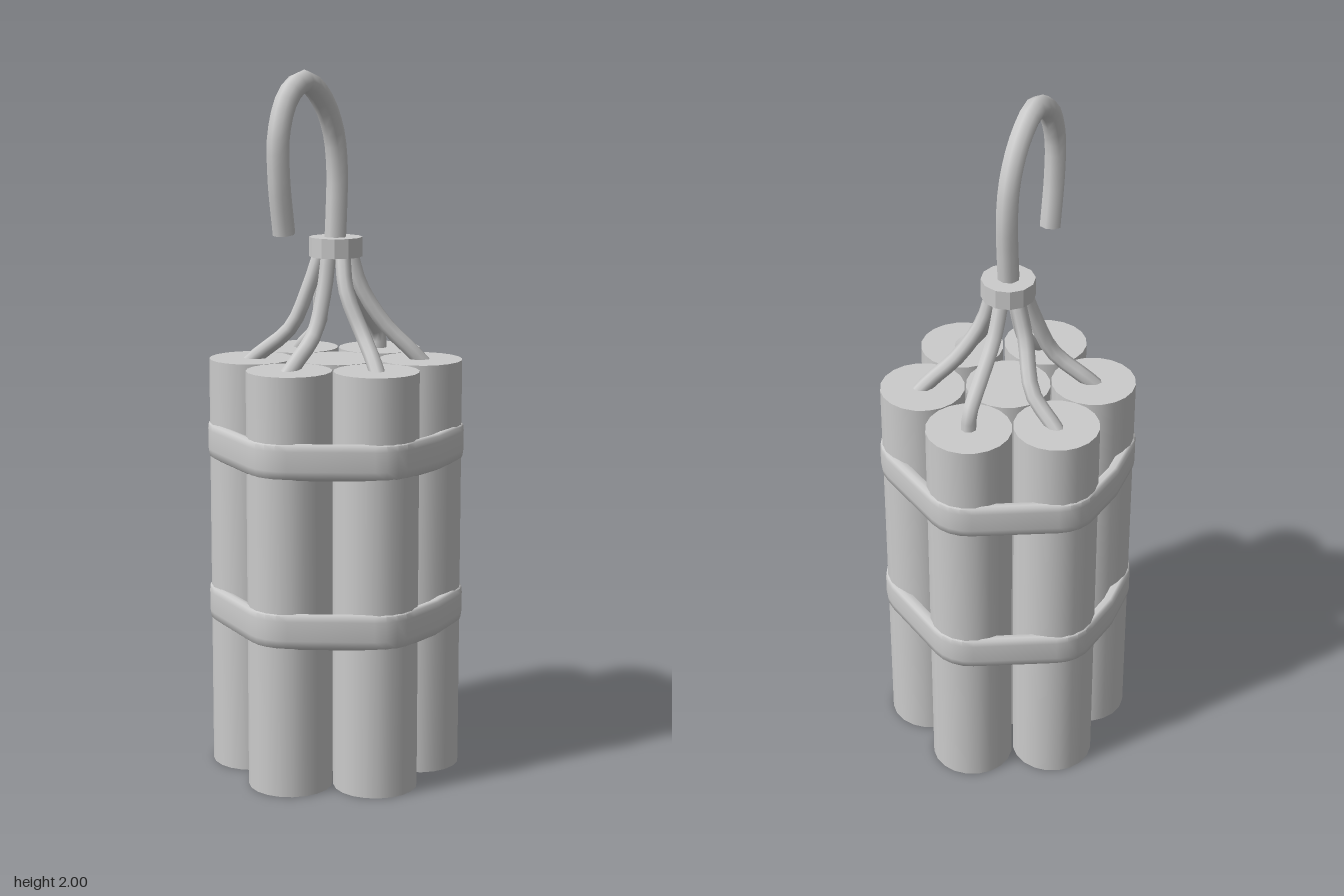
import * as THREE from 'three';
import { toCreasedNormals } from 'three/addons/utils/BufferGeometryUtils.js';

const material = new THREE.MeshStandardMaterial({ color: 0xcccccc });
const STICK_R = 0.119, STICK_H = 1.19, RING = 0.24;

function add(parent, name, geometry, x = 0, y = 0, z = 0) {
  const mesh = new THREE.Mesh(geometry, material);
  mesh.name = name;
  mesh.position.set(x, y, z);
  parent.add(mesh);
  return mesh;
}

const curveThrough = (points) =>
  new THREE.CatmullRomCurve3(points.map((p) => new THREE.Vector3(...p)), false, 'centripetal');

// Plan of the band: hull round the six outer sticks, with a slight bulge at the two sides
function bandPlan() {
  const plan = [];
  for (let k = 0; k < 6; k++) {
    const a = Math.PI / 2 + k * Math.PI / 3;
    const cx = RING * Math.cos(a), cz = RING * Math.sin(a);
    for (let i = -2; i <= 2; i++) {
      const t = a + i * Math.PI / 12;
      plan.push({ x: cx + 0.125 * Math.cos(t), z: cz + 0.125 * Math.sin(t), nx: Math.cos(t), nz: Math.sin(t) });
    }
    const m = a + Math.PI / 6;
    const d = RING * Math.cos(Math.PI / 6) + (k === 1 || k === 4 ? 0.136 : 0.125);
    plan.push({ x: d * Math.cos(m), z: d * Math.sin(m), nx: Math.cos(m), nz: Math.sin(m) });
  }
  return plan;
}

// Closed, soft-edged section swept round the plan: [offset from plan, height]
function bandGeometry() {
  const section = [
    [-0.03, -0.045], [-0.012, -0.052], [-0.003, -0.045], [0, -0.025], [0, 0.03],
    [-0.002, 0.046], [-0.01, 0.051], [-0.03, 0.045],
  ];
  const plan = bandPlan(), n = section.length, positions = [], index = [];
  plan.forEach((p, i) => {
    section.forEach(([o, y], j) => {
      positions.push(p.x + o * p.nx, y, p.z + o * p.nz);
      const i2 = (i + 1) % plan.length, j2 = (j + 1) % n;
      const a = i * n + j, b = i * n + j2, c = i2 * n + j2, d = i2 * n + j;
      index.push(a, b, c, a, c, d);
    });
  });
  const g = new THREE.BufferGeometry();
  g.setAttribute('position', new THREE.Float32BufferAttribute(positions, 3));
  g.setIndex(index);
  return toCreasedNormals(g, 0.9);
}

export function createModel() {
  const model = new THREE.Group();
  model.name = 'stickBundle';

  // Seven sticks: one in the middle, six round it
  const sticks = new THREE.Group();
  sticks.name = 'sticks';
  model.add(sticks);
  const stick = new THREE.CylinderGeometry(STICK_R, STICK_R, STICK_H, 20);
  add(sticks, 'centreStick', stick, 0, STICK_H / 2, 0);
  for (let k = 0; k < 6; k++) {
    const a = Math.PI / 2 + k * Math.PI / 3;
    add(sticks, 'outerStick', stick, RING * Math.cos(a), STICK_H / 2, RING * Math.sin(a));
  }

  // Two bands
  const band = bandGeometry();
  add(model, 'lowerBand', band, 0, 0.48, 0);
  add(model, 'upperBand', band, 0, 0.957, 0);

  // Short fuses, each bent a little differently, gathered under the collar
  const fuses = new THREE.Group();
  fuses.name = 'fuses';
  model.add(fuses);
  const paths = [
    [[0, 1.17, 0.26], [0, 1.21, 0.2], [0, 1.27, 0.115], [0, 1.39, 0.06], [0, 1.5, 0.035]],
    [[0, 1.17, -0.24], [0, 1.23, -0.235], [0, 1.31, -0.16], [0, 1.39, -0.085], [0, 1.5, -0.035]],
    [[0.22, 1.17, 0.128], [0.19, 1.21, 0.105], [0.13, 1.28, 0.068], [0.07, 1.39, 0.055], [0.035, 1.5, 0.02]],
    [[0.22, 1.17, -0.13], [0.19, 1.21, -0.11], [0.12, 1.29, -0.07], [0.06, 1.4, -0.035], [0.035, 1.5, -0.02]],
    [[-0.22, 1.17, 0.124], [-0.19, 1.2, 0.112], [-0.1, 1.28, 0.08], [-0.06, 1.39, 0.05], [-0.035, 1.5, 0.02]],
    [[-0.22, 1.17, -0.13], [-0.19, 1.2, -0.122], [-0.125, 1.26, -0.102], [-0.07, 1.38, -0.035], [-0.035, 1.5, -0.02]],
  ];
  for (const path of paths) add(fuses, 'fuse', new THREE.TubeGeometry(curveThrough(path), 10, 0.022, 8));

  // Collar
  const collar = new THREE.CylinderGeometry(0.075, 0.075, 0.055, 12);
  add(model, 'collar', toCreasedNormals(collar, 0.4), 0, 1.508, 0);

  // Main fuse, hooked over to the front, with a flat cut end
  const hook = curveThrough([
    [0, 1.5, 0.005], [0, 1.6, -0.003], [0, 1.73, -0.007], [0, 1.83, 0.012], [0, 1.92, 0.07],
    [0, 1.97, 0.155], [0, 1.935, 0.235], [0, 1.84, 0.283], [0, 1.72, 0.285], [0, 1.565, 0.261],
  ]);
  add(model, 'mainFuse', new THREE.TubeGeometry(hook, 28, 0.031, 8));
  const end = add(model, 'mainFuseEnd', new THREE.CircleGeometry(0.031, 8));
  end.position.copy(hook.getPoint(1));
  end.quaternion.setFromUnitVectors(new THREE.Vector3(0, 0, 1), hook.getTangent(1));

  return model;
}
